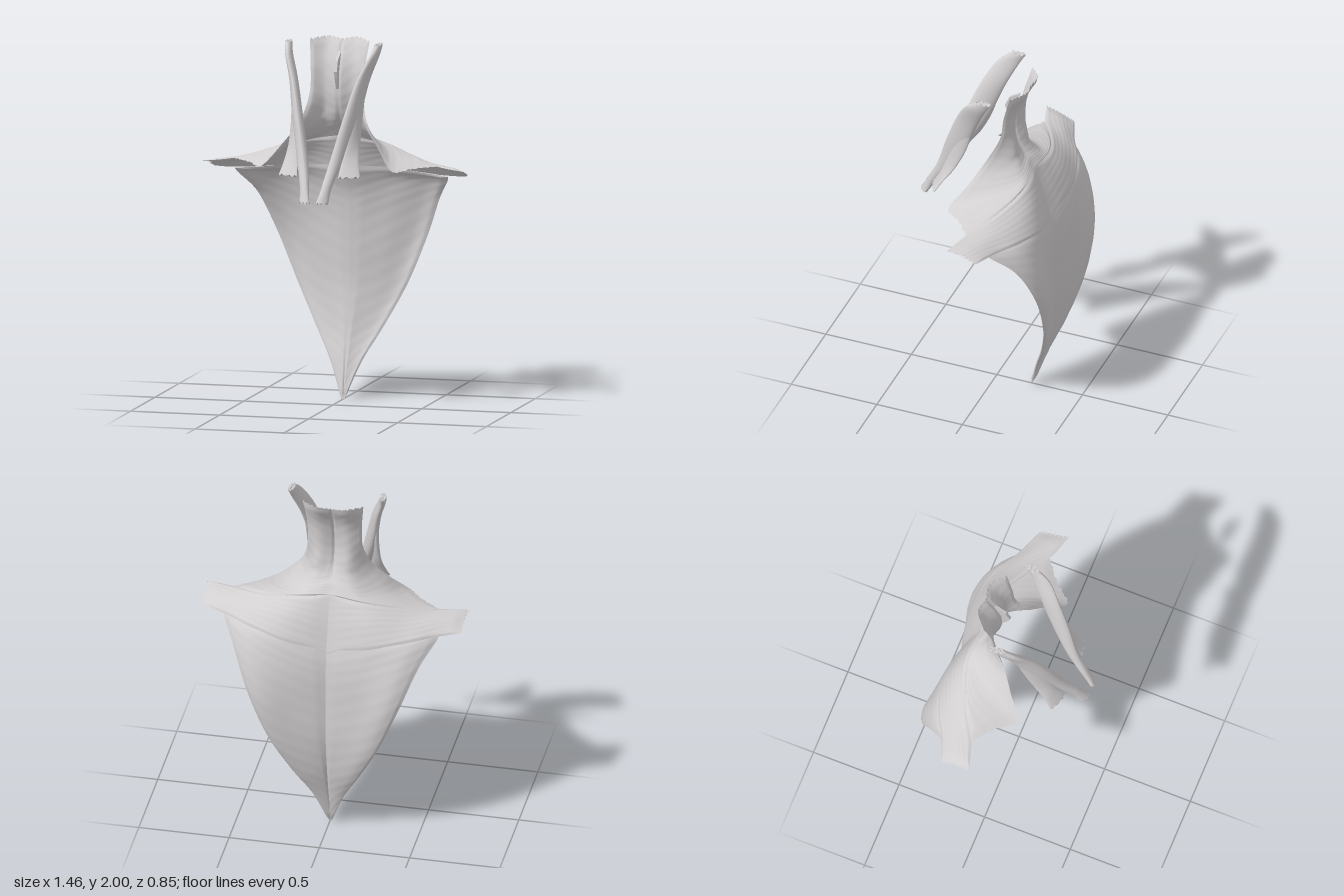
import * as THREE from 'three';
import { mergeGeometries } from 'three/addons/utils/BufferGeometryUtils.js';

const V = (p) => new THREE.Vector3(p[0], p[1], p[2]);
const curve = (pts) => new THREE.CatmullRomCurve3(pts, false, 'centripetal');

// indexed grid, (nu + 1) points per row; flip reverses the facing
function grid(points, nu, nv, flip) {
  const index = [];
  for (let j = 0; j < nv; j++) {
    for (let i = 0; i < nu; i++) {
      const a = j * (nu + 1) + i, b = a + 1, c = a + nu + 1, d = c + 1;
      if (flip) index.push(a, c, b, b, c, d);
      else index.push(a, b, c, b, d, c);
    }
  }
  const g = new THREE.BufferGeometry().setFromPoints(points);
  g.setIndex(index);
  g.computeVertexNormals();
  return g;
}

// thin muscle sheet: rows run from the spine to the outer edge, thickness tapers to the rim
function sheet(rows, side, { nv = 60, nu = 32, thick = 0.014, fray = 0, frayFrom = 0, frayTop = 0 } = {}) {
  const rowCurves = rows.map((r) => curve(r.map(V)));
  const columns = [];
  for (let i = 0; i <= nu; i++) columns.push(curve(rowCurves.map((c) => c.getPoint(i / nu))));
  const ragged = (k) => 0.6 * Math.sin(k * 2.3) + 0.4 * Math.sin(k * 5.1 + 1);
  const mid = [];
  for (let j = 0; j <= nv; j++) {
    const v = j / nv;
    const line = columns.map((c) => c.getPoint(v));
    const out = line[nu].clone().sub(line[nu - 1]).normalize();
    if (v >= frayFrom) line[nu].addScaledVector(out, fray * ragged(j));
    if (j === 0) line.forEach((p, i) => { p.y += frayTop * ragged(i); });
    line.forEach((p) => mid.push(p.setX(p.x * side)));
  }
  const n = grid(mid, nu, nv, side < 0).getAttribute('normal');
  const layer = (sign) => mid.map((p, k) => {
    const i = k % (nu + 1), j = Math.floor(k / (nu + 1));
    const rim = Math.min(1, Math.min(i, nu - i) / 3, Math.min(j, nv - j) / 3);
    const fibre = 0.0004 * Math.sin(j * 1.1 + i * 0.35);
    const off = rim * (sign * thick / 2 + fibre);
    return p.clone().add(new THREE.Vector3().fromBufferAttribute(n, k).multiplyScalar(off));
  });
  return mergeGeometries([grid(layer(1), nu, nv, side < 0), grid(layer(-1), nu, nv, side > 0)]);
}

// strap muscle from level elliptical slices: [x, y, z, half length, half thickness, turn]
function strap(slices, side) {
  const nu = 20, nv = 40, pts = [];
  const centre = curve(slices.map(V));
  const size = curve(slices.map((s) => V(s.slice(3))));
  for (let j = 0; j <= nv; j++) {
    const c = centre.getPoint(j / nv), s = size.getPoint(j / nv);
    for (let i = 0; i <= nu; i++) {
      const a = (i / nu) * Math.PI * 2;
      const l = Math.cos(a) * s.x, t = Math.sin(a) * s.y;
      const ragged = j === 0 || j === nv ? 0.008 * Math.sin(i * 2.5) : 0;
      pts.push(new THREE.Vector3(
        side * (c.x + l * Math.cos(s.z) - t * Math.sin(s.z)),
        c.y + ragged,
        c.z + l * Math.sin(s.z) + t * Math.cos(s.z)));
    }
  }
  const cap = (j) => {
    const ring = pts.slice(j * (nu + 1), (j + 1) * (nu + 1));
    const mid = ring.slice(0, nu).reduce((m, p) => m.addScaledVector(p, 1 / nu), new THREE.Vector3());
    return grid([...ring, ...ring.map(() => mid.clone())], nu, 1, (j === 0) === (side > 0));
  };
  return mergeGeometries([grid(pts, nu, nv, side < 0), cap(0), cap(nv)]);
}

// neck to collarbone
const upperRows = [
  [[0, 1.98, -0.195], [0.08, 1.992, -0.208], [0.168, 1.98, -0.14]],
  [[0, 1.85, -0.125], [0.08, 1.85, -0.14], [0.152, 1.83, -0.1]],
  [[0, 1.7, -0.1], [0.08, 1.7, -0.125], [0.152, 1.7, -0.08]],
  [[0, 1.6, -0.12], [0.09, 1.58, -0.14], [0.185, 1.56, -0.015]],
  [[0, 1.53, -0.16], [0.12, 1.49, -0.17], [0.22, 1.46, -0.05], [0.27, 1.43, 0.06]],
  [[0, 1.5, -0.19], [0.15, 1.45, -0.195], [0.28, 1.4, -0.07], [0.37, 1.315, 0.135]],
  [[0, 1.47, -0.21], [0.18, 1.43, -0.215], [0.36, 1.375, -0.11], [0.45, 1.32, 0.045]],
  [[0, 1.45, -0.225], [0.2, 1.42, -0.225], [0.42, 1.36, -0.14], [0.57, 1.325, -0.05]],
];

// spine to shoulder tip
const middleRows = [
  [[0, 1.45, -0.225], [0.2, 1.42, -0.225], [0.42, 1.36, -0.14], [0.57, 1.325, -0.05], [0.725, 1.31, 0.0]],
  [[0, 1.3, -0.275], [0.22, 1.335, -0.285], [0.43, 1.31, -0.22], [0.58, 1.305, -0.145], [0.715, 1.295, -0.08]],
  [[0, 1.13, -0.32], [0.25, 1.2, -0.345], [0.45, 1.24, -0.29], [0.58, 1.25, -0.22], [0.715, 1.26, -0.165]],
];

// mid back, tucked under the shoulder sheet and narrowing to the bottom point
const lowerRows = [
  [[0, 1.275, -0.26], [0.2, 1.27, -0.295], [0.42, 1.255, -0.255], [0.6, 1.25, -0.175]],
  [[0, 1.13, -0.318], [0.25, 1.19, -0.342], [0.44, 1.22, -0.3], [0.59, 1.225, -0.2]],
  [[0, 1.0, -0.335], [0.2, 1.04, -0.37], [0.4, 1.09, -0.37], [0.515, 1.11, -0.315]],
  [[0, 0.8, -0.34], [0.18, 0.83, -0.38], [0.34, 0.87, -0.416], [0.425, 0.89, -0.395]],
  [[0, 0.6, -0.335], [0.14, 0.6, -0.37], [0.25, 0.61, -0.398], [0.312, 0.62, -0.396]],
  [[0, 0.38, -0.3], [0.07, 0.38, -0.325], [0.14, 0.38, -0.34], [0.188, 0.38, -0.337]],
  [[0, 0.2, -0.255], [0.03, 0.2, -0.265], [0.06, 0.2, -0.27], [0.088, 0.2, -0.268]],
  [[0, 0, -0.205], [0.003, 0, -0.205], [0.006, 0, -0.205], [0.009, 0, -0.205]],
];

// front neck strap reaching the breastbone
const sternalSlices = [
  [0.253, 1.985, -0.025, 0.042, 0.017, 1.65],
  [0.24, 1.93, 0.025, 0.06, 0.02, 1.7],
  [0.195, 1.8, 0.095, 0.068, 0.024, 1.8],
  [0.15, 1.6, 0.175, 0.07, 0.03, 1.9],
  [0.1, 1.4, 0.265, 0.048, 0.03, 2.0],
  [0.065, 1.26, 0.35, 0.032, 0.024, 2.2],
  [0.05, 1.17, 0.403, 0.035, 0.018, 2.6],
];

// deeper strap flaring out onto the collarbone
const clavicularSlices = [
  [0.192, 1.75, 0.095, 0.035, 0.012, 1.7],
  [0.178, 1.6, 0.145, 0.045, 0.016, 1.9],
  [0.168, 1.45, 0.21, 0.046, 0.014, 2.3],
  [0.167, 1.36, 0.26, 0.05, 0.013, 2.7],
  [0.172, 1.3, 0.295, 0.06, 0.012, 2.8],
];

export function createModel() {
  const group = new THREE.Group();
  group.name = 'neckAndBackMuscles';
  const muscle = new THREE.MeshStandardMaterial({ color: 0xd2cfd0, side: THREE.DoubleSide });
  muscle.name = 'pale grey';
  const add = (name, geometry) => {
    const mesh = new THREE.Mesh(geometry, muscle);
    mesh.name = name;
    group.add(mesh);
  };

  for (const [label, side] of [['left', 1], ['right', -1]]) {
    add(label + 'UpperBackSheet', sheet(upperRows, side, { nv: 84, fray: 0.008, frayFrom: 0.72, frayTop: 0.008 }));
    add(label + 'ShoulderSheet', sheet(middleRows, side, { nv: 40, thick: 0.016, fray: 0.014 }));
    add(label + 'LowerBackSheet', sheet(lowerRows, side, { nv: 90, thick: 0.016 }));
    add(label + 'BreastboneStrap', strap(sternalSlices, side));
    add(label + 'CollarboneStrap', strap(clavicularSlices, side));
  }

  // thin ligament fin on the midline of the neck
  const fin = new THREE.Shape([[-0.14, 1.92], [-0.075, 1.88], [-0.05, 1.82], [-0.065, 1.78], [-0.095, 1.72], [-0.1, 1.82]]
    .map(([z, y]) => new THREE.Vector2(z, y)));
  const finGeometry = new THREE.ExtrudeGeometry(fin, { depth: 0.016, bevelEnabled: false });
  finGeometry.rotateY(-Math.PI / 2).translate(0.008, 0, 0);
  add('neckLigament', finGeometry);

  return group;
}
